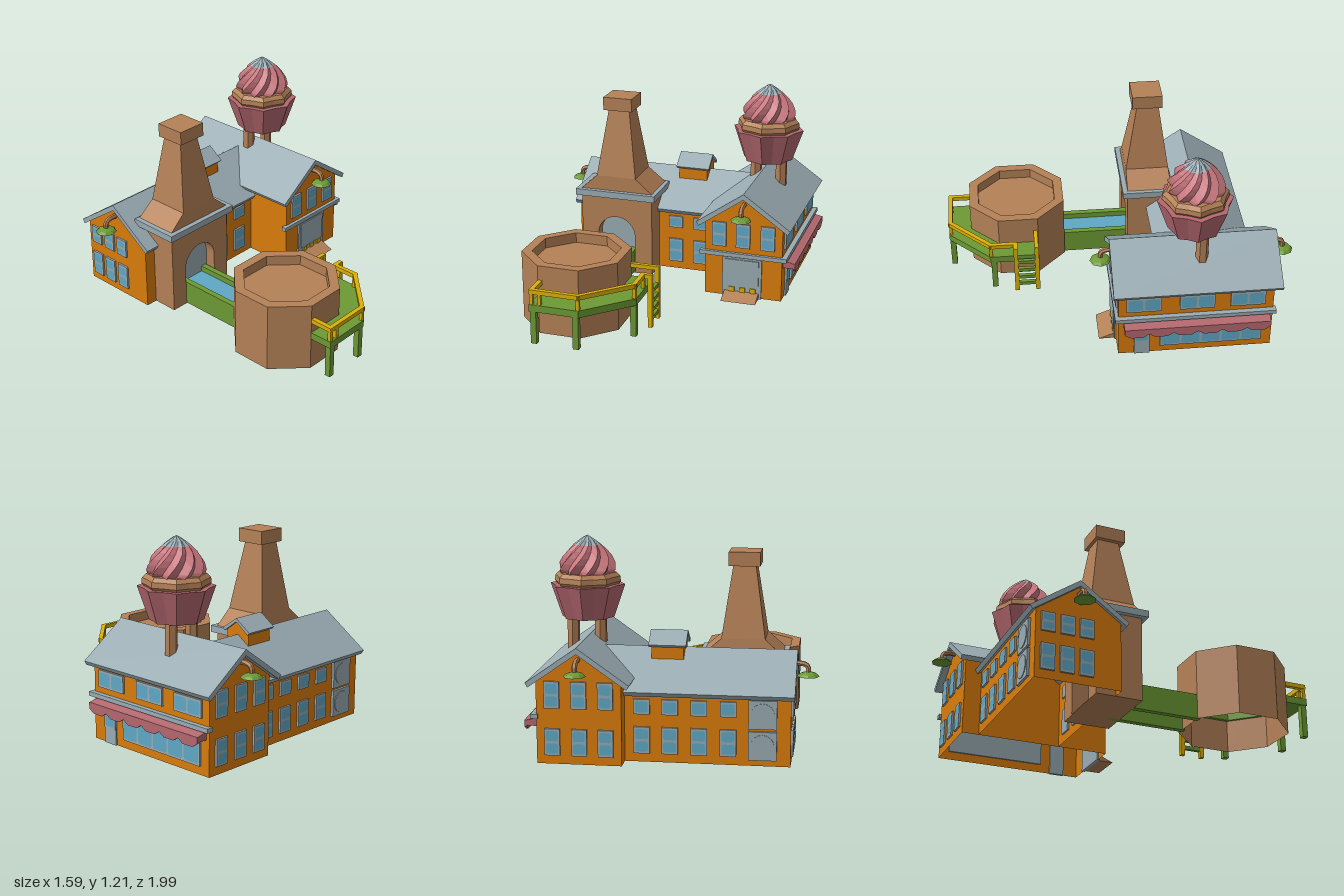
import * as THREE from 'three';

const mat = (name, color, side = THREE.FrontSide) =>
  Object.assign(new THREE.MeshStandardMaterial({ color, side }), { name });

export function createModel() {
  const root = new THREE.Group();
  const gray = mat('slate gray', 0x9aacb3), orange = mat('orange wall', 0xda7c0b, THREE.DoubleSide);
  const blue = mat('glass blue', 0x5fa8c6, THREE.DoubleSide), green = mat('green', 0x6d9a34);
  const yellow = mat('yellow', 0xdcb009), brown = mat('brown', 0xb58157, THREE.DoubleSide);
  const rose = mat('dark rose', 0xb5686f), pink = mat('frosting pink', 0xca787f);

  const add = (name, geo, material, parent = root) => {
    const m = new THREE.Mesh(geo, material);
    m.name = name;
    parent.add(m);
    return m;
  };
  const flat = (geo) => {
    const g = geo.index ? geo.toNonIndexed() : geo;
    g.computeVertexNormals();
    return g;
  };
  // box from minimum and maximum corners
  const block = (name, x0, x1, y0, y1, z0, z1, m, parent = root) => {
    const b = add(name, new THREE.BoxGeometry(x1 - x0, y1 - y0, z1 - z0), m, parent);
    b.position.set((x0 + x1) / 2, (y0 + y1) / 2, (z0 + z1) / 2);
    return b;
  };
  const shape = (pts) => new THREE.Shape(pts.map(([x, y]) => new THREE.Vector2(x, y)));
  const extrude = (s, depth) => new THREE.ExtrudeGeometry(s, { depth, bevelEnabled: false, curveSegments: 8 });
  // drop the triangles lying on the ground, leaving a hollow shell
  const hollow = (g) => {
    const p = g.attributes.position, keep = [];
    for (let i = 0; i < p.count; i += 3) {
      if (Math.max(p.getY(i), p.getY(i + 1), p.getY(i + 2)) > 0.001) keep.push(i, i + 1, i + 2);
    }
    g.setIndex(keep);
    g.clearGroups();
    return g;
  };
  // four-sided taper: bottom and top are [x0, x1, z0, z1]
  const taper = (name, bot, top, y0, y1, m) => {
    const g = new THREE.BoxGeometry(1, 1, 1), p = g.attributes.position;
    for (let i = 0; i < p.count; i++) {
      const up = p.getY(i) > 0, r = up ? top : bot;
      p.setXYZ(i, p.getX(i) < 0 ? r[0] : r[1], up ? y1 : y0, p.getZ(i) < 0 ? r[2] : r[3]);
    }
    g.computeVertexNormals();
    return add(name, g, m);
  };
  const beam = (name, a, b, w, m) => {
    const A = new THREE.Vector3(...a), B = new THREE.Vector3(...b);
    const o = add(name, new THREE.BoxGeometry(w, w, A.distanceTo(B) + w * 0.8), m);
    o.position.copy(A).lerp(B, 0.5);
    o.lookAt(B);
  };
  // gabled walls and roof, profile centred on the ridge
  const gable = (name, hw, eave, ridge, depth) => [
    hollow(extrude(shape([[-hw, 0], [hw, 0], [hw, eave], [0, ridge], [-hw, eave]]), depth)), orange, name];
  const roof = (name, hw, eave, ridge, depth, t = 0.035) => [
    extrude(shape([[-hw, eave], [-hw + 0.015, eave - t * 0.7], [0, ridge - t],
      [hw - 0.015, eave - t * 0.7], [hw, eave], [0, ridge]]), depth), gray, name];
  const place = ([g, m, name], x, z, alongX) => {
    const o = add(name, g, m);
    o.position.set(x, 0, z);
    if (alongX) o.rotation.y = Math.PI / 2;
  };

  // buildings
  place(gable('shopWalls', 0.235, 0.465, 0.63, 0.89), 0.485, -0.85, false);
  place(roof('shopRoof', 0.285, 0.46, 0.66, 0.96), 0.485, -0.89, false);
  place(gable('wingWalls', 0.245, 0.40, 0.57, 0.91), -0.66, -0.505, true);
  place(roof('wingRoof', 0.285, 0.40, 0.60, 1.1), -0.68, -0.505, true);
  block('cupola', -0.055, 0.125, 0.5, 0.63, -0.585, -0.425, orange);
  taper('cupolaGable', [-0.055, 0.125, -0.585, -0.425], [-0.055, 0.125, -0.506, -0.504], 0.63, 0.675, orange);
  place(roof('cupolaRoof', 0.1, 0.625, 0.695, 0.21, 0.02), -0.07, -0.505, true);
  block('frontLedge', 0.22, 0.75, 0.255, 0.28, 0.03, 0.06, gray);
  block('sideLedge', 0.71, 0.75, 0.255, 0.28, -0.865, 0.05, gray);

  // rounded pane centred on the origin
  const pane = (w, h) => {
    const s = new THREE.Shape(), a = w / 2, b = h / 2, c = 0.013;
    s.moveTo(-a + c, -b).lineTo(a - c, -b).quadraticCurveTo(a, -b, a, -b + c).lineTo(a, b - c)
      .quadraticCurveTo(a, b, a - c, b).lineTo(-a + c, b).quadraticCurveTo(-a, b, -a, b - c)
      .lineTo(-a, -b + c).quadraticCurveTo(-a, -b, -a + c, -b);
    return new THREE.ShapeGeometry(s, 3);
  };
  // framed windows facing local +z
  const windowAt = (x, y, z, turn, w, h, cols, rows) => {
    const g = new THREE.Group();
    g.name = 'window';
    g.position.set(x, y, z);
    g.rotation.y = turn;
    block('frame', -w / 2, w / 2, -h / 2, h / 2, -0.01, 0.012, gray, g);
    const cw = (w - 0.006) / cols, rh = (h - 0.01) / rows;
    for (let c = 0; c < cols; c++) for (let r = 0; r < rows; r++) {
      add('pane', pane(cw - 0.013, rh - 0.014), blue, g)
        .position.set((c - (cols - 1) / 2) * cw, (r - (rows - 1) / 2) * rh, 0.0135);
    }
    root.add(g);
  };
  const Q = Math.PI / 2;
  for (const x of [0.337, 0.483, 0.632]) {
    windowAt(x, 0.39, 0.04, 0, 0.085, 0.15, 1, 2);
    for (const y of [0.125, 0.39]) windowAt(x, y, -0.85, Math.PI, 0.085, 0.15, 1, 2);
  }
  for (const x of [-0.025, 0.135]) {
    windowAt(x, 0.125, -0.26, 0, 0.09, 0.15, 1, 2);
    windowAt(x, 0.314, -0.26, 0, 0.09, 0.075, 1, 1);
  }
  for (const x of [0.155, 0, -0.16, -0.32]) {
    windowAt(x, 0.125, -0.75, Math.PI, 0.09, 0.15, 1, 2);
    windowAt(x, 0.314, -0.75, Math.PI, 0.09, 0.085, 1, 1);
  }
  for (const z of [-0.68, -0.57, -0.46]) {
    windowAt(-0.66, 0.125, z, -Q, 0.08, 0.15, 1, 2);
    windowAt(-0.66, 0.325, z, -Q, 0.08, 0.11, 1, 2);
  }
  for (const z of [-0.105, -0.41, -0.7]) windowAt(0.72, 0.367, z, Q, 0.2, 0.1, 2, 1);
  windowAt(0.72, 0.12, -0.495, Q, 0.59, 0.14, 5, 1);

  // side door with a small light
  block('sideDoor', 0.71, 0.73, 0, 0.2, -0.14, -0.05, gray);
  windowAt(0.722, 0.14, -0.095, Q, 0.088, 0.1, 1, 1);

  // round vents on the back wall
  for (const y of [0.115, 0.29]) {
    block('ventPanel', -0.585, -0.43, y - 0.08, y + 0.08, -0.765, -0.74, gray);
    const disc = add('ventDisc', new THREE.CylinderGeometry(0.065, 0.065, 0.006, 16), gray);
    disc.rotation.x = Q;
    disc.position.set(-0.507, y, -0.766);
  }

  // front door, hazard marks and ramp
  block('doorFrame', 0.36, 0.6, 0, 0.25, 0.03, 0.05, gray);
  block('doorPanel', 0.377, 0.583, 0.065, 0.24, 0.045, 0.056, gray);
  for (const x of [0.42, 0.485, 0.55]) block('hazardMark', x - 0.017, x + 0.017, 0.03, 0.063, 0.05, 0.058, yellow);
  taper('ramp', [0.375, 0.585, 0.04, 0.14], [0.375, 0.585, 0.04, 0.055], 0, 0.035, brown);

  // scalloped awning
  taper('awningTop', [0.72, 0.79, -0.83, 0.01], [0.72, 0.725, -0.83, 0.01], 0.235, 0.25, rose);
  block('awningBody', 0.72, 0.785, 0.205, 0.235, -0.83, 0.01, rose);
  const scallop = [[-0.01, 0.237], [-0.01, 0.2]];
  for (let i = 0; i < 6; i++) {
    const s = -0.01 + i * 0.14;
    scallop.push([s + 0.035, 0.177], [s + 0.105, 0.177], [s + 0.14, 0.2]);
  }
  scallop.push([0.83, 0.237]);
  const flap = add('awningFlap', extrude(shape(scallop), 0.012), rose);
  flap.rotation.y = Q;
  flap.position.x = 0.78;

  // kiln with arched opening and tapered stack
  const front = shape([[-0.59, 0], [-0.135, 0], [-0.135, 0.49], [-0.59, 0.49]]);
  const arch = new THREE.Path();
  arch.moveTo(-0.485, 0.005).lineTo(-0.485, 0.24).absarc(-0.365, 0.24, 0.12, Math.PI, 0, true).lineTo(-0.245, 0.005);
  front.holes.push(arch);
  add('kiln', extrude(front, 0.27), brown).position.z = -0.375;
  block('kilnBackPanel', -0.5, -0.23, 0.01, 0.38, -0.25, -0.17, gray);
  block('kilnLedge', -0.62, -0.11, 0.49, 0.53, -0.385, -0.075, gray);
  taper('kilnShoulder', [-0.59, -0.135, -0.375, -0.105], [-0.49, -0.24, -0.365, -0.105], 0.53, 0.62, brown);
  taper('stack', [-0.49, -0.24, -0.365, -0.105], [-0.43, -0.3, -0.305, -0.175], 0.62, 1.03, brown);
  block('stackCap', -0.455, -0.275, 1.03, 1.11, -0.325, -0.145, brown);

  // water channel
  for (const x of [-0.48, -0.29]) block('channelWall', x, x + 0.035, 0, 0.145, -0.17, 0.3, green);
  block('water', -0.447, -0.288, 0.1, 0.11, -0.17, 0.3, blue);

  // octagonal tank, open underneath
  const k = Math.cos(Math.PI / 8), R = 0.29 / k, r = 0.235 / k;
  const ring = [[R, 0], [R, 0.41], [r, 0.41], [r, 0.35], [0, 0.35]].map((p) => new THREE.Vector2(...p));
  add('tank', flat(new THREE.LatheGeometry(ring, 8, Math.PI / 8)), brown).position.set(-0.36, 0, 0.573);

  // platform, legs, railing and ladder
  const deck = shape([[-0.48, -0.84], [-0.48, -1], [-0.19, -1], [0.058, -0.75], [0.058, -0.455],
    [-0.09, -0.455], [-0.09, -0.69], [-0.24, -0.84]]);
  const platform = add('platform', extrude(deck, 0.042), green);
  platform.rotation.x = -Q;
  platform.position.y = 0.194;
  for (const [x, z] of [[-0.458, 0.98], [-0.21, 0.98], [0.037, 0.73]])
    block('platformLeg', x - 0.017, x + 0.017, 0, 0.2, z - 0.017, z + 0.017, green);
  const path = [[0.09, 0.597], [0.046, 0.597], [0.046, 0.745], [-0.195, 0.986], [-0.467, 0.986], [-0.467, 0.85]];
  for (let i = 0; i + 1 < path.length; i++) {
    const [a, b] = [path[i], path[i + 1]];
    beam('handrail', [a[0], 0.311, a[1]], [b[0], 0.311, b[1]], 0.026, yellow);
    if (i) beam('railPost', [a[0], 0.23, a[1]], [a[0], 0.3, a[1]], 0.02, yellow);
  }
  beam('railPost', [-0.42, 0.23, 0.986], [-0.42, 0.3, 0.986], 0.02, yellow);
  beam('handrail', [-0.07, 0.311, 0.47], [0.09, 0.311, 0.47], 0.024, yellow);
  for (const z of [0.47, 0.597]) beam('ladderUpright', [0.09, 0.01, z], [0.09, 0.311, z], 0.026, yellow);
  for (const y of [0.05, 0.1, 0.155, 0.215]) beam('ladderRung', [0.09, y, 0.48], [0.09, y, 0.585], 0.022, green);

  // gooseneck lamps
  const neck = new THREE.CatmullRomCurve3([[0.07, -0.03], [0.07, 0.05], [0.055, 0.077], [0.015, 0.08]]
    .map(([h, z]) => new THREE.Vector3(0, h, z)));
  const dome = [[0, 0], [0.062, 0], [0.048, 0.014], [0.016, 0.025], [0, 0.025]].map((p) => new THREE.Vector2(...p));
  const lamp = (x, y, z, turn) => {
    const g = new THREE.Group();
    g.name = 'lamp';
    g.position.set(x, y, z);
    g.rotation.y = turn;
    add('lampNeck', flat(new THREE.TubeGeometry(neck, 10, 0.015, 6)), brown, g);
    add('lampShade', flat(new THREE.LatheGeometry(dome, 8)), green, g).position.z = 0.08;
    root.add(g);
  };
  lamp(0.485, 0.515, 0.04, 0);
  lamp(0.485, 0.515, -0.85, Math.PI);
  lamp(-0.66, 0.452, -0.505, -Q);

  // cupcake sign: lathes with every second rib pulled in and optional twist
  const pleated = (name, profile, lobes, dent, twist, m) => {
    const g = new THREE.LatheGeometry(profile.map((p) => new THREE.Vector2(...p)), lobes * 2);
    const p = g.attributes.position, step = Math.PI / lobes;
    for (let i = 0; i < p.count; i++) {
      const rad = Math.hypot(p.getX(i), p.getZ(i)), n = Math.round(Math.atan2(p.getX(i), p.getZ(i)) / step);
      const q = rad * (n % 2 ? dent : 1), a = n * step + twist * (p.getY(i) - 0.97);
      p.setXYZ(i, Math.sin(a) * q, p.getY(i), Math.cos(a) * q);
    }
    add(name, flat(g), m).position.set(0.515, 0, -0.408);
  };
  pleated('cup', [[0, 0.74], [0.15, 0.74], [0.215, 0.93], [0.17, 0.93], [0, 0.925]], 8, 0.88, 0, rose);
  pleated('cake', [[0, 0.9], [0.172, 0.92], [0.19, 0.945], [0.187, 0.975], [0.165, 0.997], [0, 0.997]], 8, 0.9, 0, brown);
  pleated('frosting', [[0, 0.98], [0.15, 0.985], [0.164, 1.015], [0.158, 1.05], [0.14, 1.085],
    [0.112, 1.12], [0.078, 1.152]], 10, 0.82, 5, pink);
  pleated('frostingTip', [[0.078, 1.152], [0.045, 1.178], [0.015, 1.198], [0, 1.205]], 10, 0.82, 5, gray);
  for (const x of [0.435, 0.593]) {
    add('signPost', flat(new THREE.CylinderGeometry(0.036, 0.036, 0.26, 6)), brown).position.set(x, 0.63, -0.445);
  }
  return root;
}
